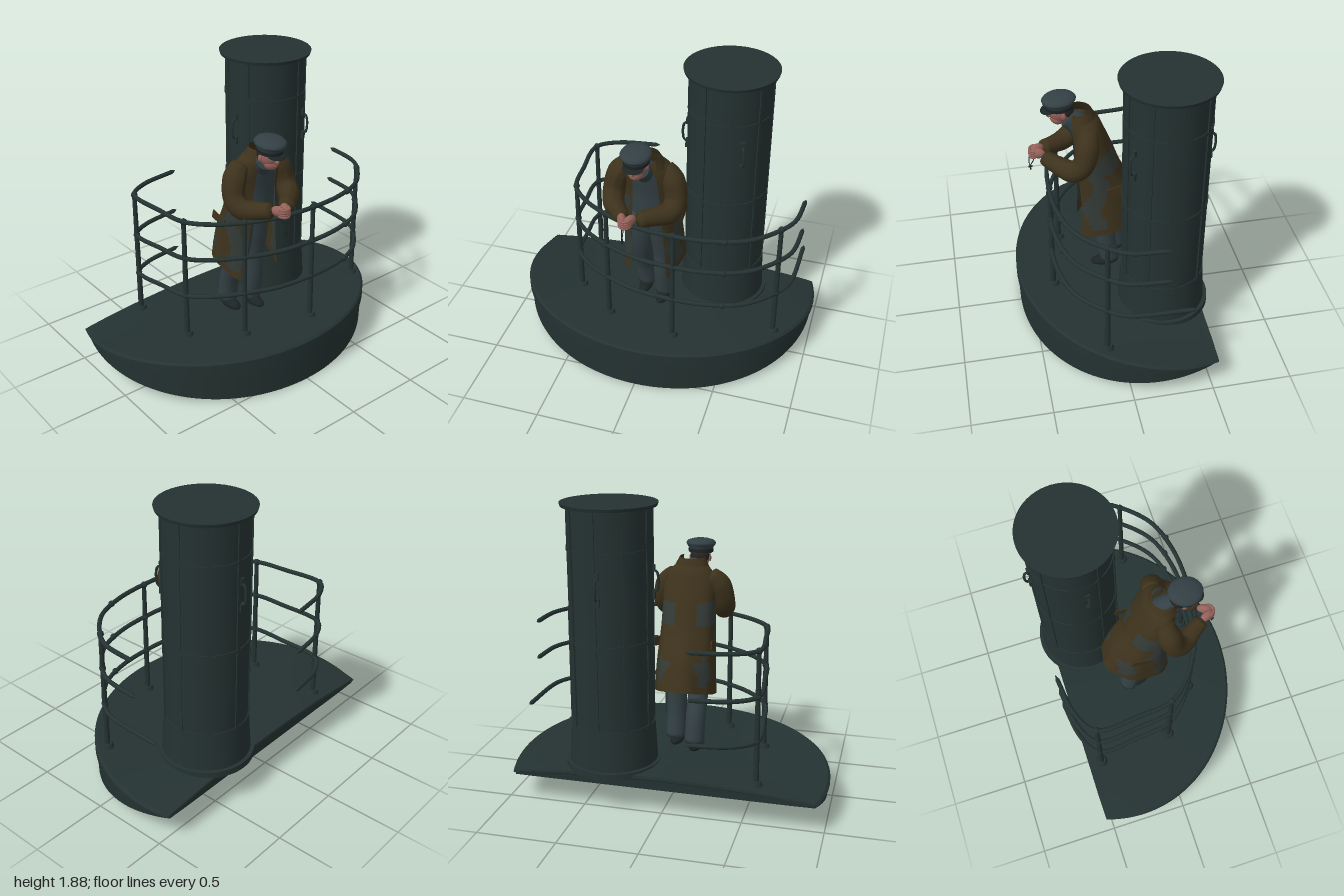
import * as THREE from 'three';
import { toCreasedNormals } from 'three/addons/utils/BufferGeometryUtils.js';

const mat = (name, color, side = THREE.FrontSide) => {
  const m = new THREE.MeshStandardMaterial({ color, side });
  m.name = name;
  return m;
};
const V = (x, y, z) => new THREE.Vector3(x, y, z);

// Skin between cross-sections; pick(point) chooses the material index of each cell
function loft(rings, closed = true, pick = () => 0) {
  const n = rings[0].length, lists = [[], []];
  for (let i = 0; i < rings.length - 1; i++) {
    for (let j = 0; j < (closed ? n : n - 1); j++) {
      const k = (j + 1) % n, a = i * n + j, b = i * n + k;
      lists[pick(rings[i][j])].push(a, b, b + n, a, b + n, a + n);
    }
  }
  const g = new THREE.BufferGeometry().setFromPoints(rings.flat());
  g.setIndex([...lists[0], ...lists[1]]);
  g.addGroup(0, lists[0].length, 0);
  g.addGroup(lists[0].length, lists[1].length, 1);
  g.computeVertexNormals();
  return g;
}

// Tube whose radius follows a list of values; closed at both ends
function limb(points, radii, seg = 28, sides = 14) {
  const curve = new THREE.CatmullRomCurve3(points.map((p) => V(...p)));
  const g = new THREE.TubeGeometry(curve, seg, 1, sides), pos = g.attributes.position, p = V();
  for (let i = 0; i <= seg; i++) {
    const c = curve.getPointAt(i / seg), t = (i / seg) * (radii.length - 1);
    const k = Math.min(Math.floor(t), radii.length - 2);
    const r = i === 0 || i === seg ? 0.001 : THREE.MathUtils.lerp(radii[k], radii[k + 1], t - k);
    for (let j = 0; j <= sides; j++) {
      const id = i * (sides + 1) + j;
      p.fromBufferAttribute(pos, id).sub(c).multiplyScalar(r).add(c);
      pos.setXYZ(id, p.x, p.y, p.z);
    }
  }
  g.computeVertexNormals();
  return g;
}

export function createModel() {
  const steel = mat('dark green steel', 0x243231);
  const olive = mat('olive coat', 0x3d321c, THREE.DoubleSide);
  const patch = mat('grey green coat patch', 0x333a36, THREE.DoubleSide);
  const cloth = mat('blue grey cloth', 0x334044);
  const skin = mat('skin', 0x95625a);
  const hair = mat('dark hair', 0x2a2420);
  const black = mat('black leather', 0x1d2425);

  const root = new THREE.Group();
  const group = (name) => {
    const g = new THREE.Group();
    g.name = name;
    root.add(g);
    return g;
  };
  const add = (parent, name, geo, material, x = 0, y = 0, z = 0) => {
    const m = new THREE.Mesh(geo, material);
    m.name = name;
    m.position.set(x, y, z);
    parent.add(m);
    return m;
  };

  // Platform: half-oval outline, cambered deck, sloping underside
  const drop = (x) => THREE.MathUtils.clamp((0.59 - x) / 1.15, 0, 1);
  const topY = (x, z) => 0.31 - 0.05 * drop(x) - 0.07 * z * z * drop(x) ** 2;
  const botY = (x) => 0.003 + 0.177 * drop(x) ** 1.2;
  const rimY = (x, z) => THREE.MathUtils.lerp(botY(x), topY(x, z), 0.68);
  const outline = [];
  for (let i = 0; i <= 72; i++) {
    const a = -1.87 + (3.74 * i) / 72;
    outline.push([-0.28 + 0.87 * Math.cos(a), -Math.sin(a)]);
  }
  for (let i = 1; i < 12; i++) outline.push([-0.54, -0.955 + (1.91 * i) / 12]);
  const deckRing = (s, yf, dy = 0) => outline.map(([x, z]) => {
    const px = -0.3 + (x + 0.3) * s, pz = z * s;
    return V(px, yf(px, pz) + dy, pz);
  });
  const hull = loft([
    deckRing(0.001, botY), deckRing(0.5, botY), deckRing(0.985, botY), deckRing(0.99, rimY),
    deckRing(1, rimY, 0.004), deckRing(1, topY, -0.012), deckRing(0.985, topY),
    ...[0.85, 0.7, 0.5, 0.25, 0.001].map((s) => deckRing(s, topY)),
  ]);
  hull.clearGroups();
  add(group('platform'), 'platformHull', toCreasedNormals(hull, 0.5), steel);

  // Round tower with cap, bands, straps and door fittings
  const tower = group('tower');
  tower.position.set(-0.305, 0, -0.36);
  const drum = (name, r1, r2, y0, y1) =>
    add(tower, name, new THREE.CylinderGeometry(r1, r2, y1 - y0, 56), steel, 0, (y0 + y1) / 2, 0);
  drum('towerBody', 0.255, 0.255, 0.25, 1.87);
  drum('towerBase', 0.262, 0.278, 0.25, 0.52);
  drum('towerFlange', 0.3, 0.302, 0.235, 0.275);
  drum('towerCap', 0.292, 0.286, 1.868, 1.888);
  for (const y of [0.52, 1.06, 1.62]) drum('towerBand', 0.261, 0.261, y - 0.01, y + 0.01);
  const onTower = (name, geo, a, y, r) => {
    add(tower, name, geo, steel, r * Math.sin(a), y, r * Math.cos(a)).rotation.y = a;
  };
  for (let i = 0; i < 9; i++) {
    onTower('towerStrap', new THREE.BoxGeometry(0.022, 1.34, 0.012), 0.45 + (i * Math.PI * 2) / 9, 1.19, 0.257);
  }
  for (const a of [0, Math.PI]) {
    add(tower, 'doorPanel', new THREE.CylinderGeometry(0.259, 0.259, 1.22, 12, 1, true, a - 0.3, 0.6), steel, 0, 1.17, 0);
  }
  for (const a of [0.1, 2.1, -Math.PI / 2]) {
    const bar = limb([[0, 0.07, 0], [0, 0.055, 0.028], [0, -0.055, 0.028], [0, -0.07, 0]], [0.008, 0.008], 16, 8);
    onTower('doorHandle', bar, a, 1.42, 0.255);
    onTower('handlePlate', new THREE.BoxGeometry(0.035, 0.05, 0.025), a, 1.34, 0.26);
    onTower('handlePlate', new THREE.BoxGeometry(0.03, 0.04, 0.02), a, 1.5, 0.26);
  }

  // Curved guard rails and their posts
  const railing = group('railing');
  const plan = [[0.02, -0.86], [0.14, -0.79], [0.29, -0.63], [0.36, -0.42], [0.375, -0.19], [0.35, 0.06],
    [0.27, 0.27], [0.17, 0.43], [0.04, 0.54], [-0.18, 0.57], [-0.45, 0.575], [-0.54, 0.45], [-0.588, 0.17]];
  const rails = [[1.09, 0, -0.22], [0.855, 0.055, -0.24], [0.6, 0.085, -0.4]];
  for (const [y, sag, end] of rails) {
    const path = [[end, -0.885], ...plan].map(([x, z]) =>
      [x, z > 0 ? y - sag * Math.min(1, Math.max(0, (0.3 - x) / 0.85)) : y, z]);
    add(railing, 'guardRail', limb(path, [0.014, 0.014], 90, 10), steel);
  }
  for (const [x, z] of [[0.13, -0.795], [0.372, -0.19], [0.27, 0.265], [0.035, 0.54], [-0.45, 0.575]]) {
    const y0 = topY(x, z) - 0.005;
    add(railing, 'railPost', new THREE.CylinderGeometry(0.014, 0.018, 1.1 - y0, 12), steel, x, (1.1 + y0) / 2, z);
    add(railing, 'postFoot', new THREE.CylinderGeometry(0.03, 0.043, 0.03, 12), steel, x, y0 + 0.015, z);
    for (const [y, sag] of rails) {
      const h = y - (z > 0 ? sag * Math.max(0, (0.3 - x) / 0.85) : 0);
      add(railing, 'railJoint', new THREE.SphereGeometry(0.021, 10, 8), steel, x, h, z);
    }
  }
  for (const [y] of rails) add(railing, 'railCoupling', new THREE.SphereGeometry(0.02, 10, 8), steel, 0.345, y, -0.5);

  // Sailor leaning on the rail, facing +x
  const man = group('sailor');
  for (const [z, dx] of [[0.115, -0.04], [-0.025, 0.03]]) {
    add(man, 'trouserLeg', limb([[0.04, 1.0, z * 0.8 + 0.01], [0.0, 0.68, z], [-0.04 + dx, 0.48, z], [-0.07 + dx, 0.3, z]],
      [0.085, 0.08, 0.066, 0.064, 0.064]), cloth);
    add(man, 'shoe', new THREE.SphereGeometry(1, 16, 10), black, -0.03 + dx, 0.298, z).scale.set(0.095, 0.034, 0.043);
  }
  // cross-section: [y, centre x, half depth, half width]
  const ring = (y, cx, rx, rz, gap, tilt, fold) => Array.from({ length: 45 }, (_, j) => {
    const a = gap + ((Math.PI * 2 - gap * 2) * j) / 44;
    const w = 1 + fold * Math.sin(a * 7 + y * 4);
    const x = cx + rx * w * Math.cos(a);
    return V(x, y - tilt * x, 0.035 - rz * w * Math.sin(a));
  });
  const section = [[0.63, -0.025, 0.235, 0.195], [0.85, -0.005, 0.195, 0.185], [1.05, 0.04, 0.15, 0.175],
    [1.2, 0.065, 0.125, 0.17], [1.34, 0.1, 0.105, 0.165], [1.41, 0.115, 0.09, 0.13], [1.455, 0.13, 0.07, 0.075]];
  const spline = new THREE.CatmullRomCurve3(section.map(([y, cx, rx]) => V(y, cx, rx)));
  const width = new THREE.CatmullRomCurve3(section.map(([y, , , rz]) => V(y, rz, 0)));
  const coatRings = [], bodyRings = [];
  for (let i = 0; i <= 30; i++) {
    const s = spline.getPoint(i / 30), rz = width.getPoint(i / 30).y, t = i / 30;
    coatRings.push(ring(s.x, s.y, s.z, rz, 0.68 - 0.35 * t, 0.31 * Math.max(0, 1 - t * 2), 0.03 * (1 - t)));
    if (i > 9) bodyRings.push(ring(s.x, s.y, s.z * 0.9, rz * 0.85, 0, 0, 0));
  }
  // faded areas on both sides of the coat
  const faded = (p) => {
    const wave = 0.03 * Math.sin(p.y * 18);
    const back = p.y > 1.06 && p.y < 1.22 && p.x < 0.06;
    const side = p.y > 0.64 && p.y < 1.15 && p.x > 0.02 + wave && p.x < 0.13 + wave;
    const low = p.y > 0.72 && p.y < 0.88 && p.x > -0.2 && p.x < -0.13 + wave;
    return Math.abs(p.z - 0.035) > 0.07 && (back || side || low) ? 1 : 0;
  };
  add(man, 'coat', loft(coatRings, false, faded), [olive, patch]);
  add(man, 'sweater', loft(bodyRings), [cloth, cloth]);
  add(man, 'coatCollar', loft([
    ring(1.39, 0.13, 0.1, 0.12, 0.7, -0.1, 0), ring(1.44, 0.135, 0.085, 0.095, 0.8, -0.1, 0),
    ring(1.485, 0.15, 0.08, 0.08, 0.95, 0, 0)], false), [olive, olive]);
  add(man, 'turtleneck', limb([[0.12, 1.34, 0.04], [0.17, 1.39, 0.05], [0.22, 1.425, 0.06]], [0.075, 0.07, 0.062]), cloth);
  // pocket flaps
  for (const s of [1, -1]) {
    const flap = add(man, 'pocketFlap', new THREE.BoxGeometry(0.12, 0.055, 0.009), olive, -0.05, 0.97, 0.035 + s * 0.182);
    flap.rotation.set(0, 0, -0.25);
  }
  // arms resting on the rail, hands clasped
  for (const s of [1, -1]) {
    const z = (v) => 0.05 + s * v;
    add(man, 'sleeve', limb([[0.1, 1.39, z(0.1)], [0.12, 1.32, z(0.165)], [0.15, 1.2, z(0.195)], [0.21, 1.145, z(0.18)],
      [0.3, 1.15, z(0.11) + 0.01], [0.375, 1.165, z(0.045) + 0.03]], [0.055, 0.075, 0.07, 0.068, 0.056, 0.047]), olive);
    const palm = add(man, 'hand', new THREE.SphereGeometry(1, 14, 10), skin, 0.405, 1.17, 0.09 + s * 0.024);
    palm.scale.set(0.05, 0.034, 0.028);
    palm.rotation.y = s * 0.4;
    for (let i = 0; i < 4; i++) {
      add(man, 'finger', limb([[0.415, 1.19 - i * 0.014, 0.09 + s * 0.04], [0.447, 1.188 - i * 0.015, 0.09 + s * 0.02],
        [0.452, 1.184 - i * 0.015, 0.09 - s * 0.014]], [0.009, 0.009], 10, 8), skin);
    }
  }
  // chain hanging from the hands
  add(man, 'chain', limb([[0.43, 1.15, 0.1], [0.425, 1.11, 0.1], [0.435, 1.085, 0.1], [0.452, 1.06, 0.1],
    [0.458, 1.1, 0.1], [0.45, 1.15, 0.1]], [0.003, 0.003], 40, 6), black);
  add(man, 'pendant', new THREE.BoxGeometry(0.008, 0.034, 0.008), black, 0.45, 1.043, 0.1);
  add(man, 'pendantBar', new THREE.BoxGeometry(0.025, 0.008, 0.008), black, 0.45, 1.05, 0.1);

  // Head
  const head = new THREE.Group();
  head.name = 'head';
  head.position.set(0.255, 1.46, 0.065);
  head.rotation.z = -0.08;
  man.add(head);
  const ball = (name, m, x, y, z, sx, sy, sz) =>
    add(head, name, new THREE.SphereGeometry(1, 20, 14), m, x, y, z).scale.set(sx, sy, sz);
  ball('skull', skin, -0.005, 0.01, 0, 0.075, 0.075, 0.062);
  ball('jaw', skin, 0.018, -0.035, 0, 0.048, 0.045, 0.047);
  ball('nose', skin, 0.07, -0.008, 0, 0.018, 0.018, 0.011);
  ball('mouth', skin, 0.056, -0.04, 0, 0.012, 0.008, 0.02);
  ball('hair', hair, -0.026, 0.012, 0, 0.06, 0.055, 0.061);
  for (const s of [1, -1]) {
    ball('ear', skin, -0.012, -0.002, s * 0.063, 0.015, 0.022, 0.008);
    ball('eyebrow', hair, 0.061, 0.018, s * 0.026, 0.008, 0.004, 0.014);
  }
  // Peaked cap
  const capProfile = [[0.078, 0.03], [0.082, 0.036], [0.084, 0.062], [0.1, 0.084], [0.102, 0.094], [0.09, 0.108], [0.055, 0.118], [0, 0.121]];
  const cap = add(head, 'capCrown', new THREE.LatheGeometry(capProfile.map((p) => new THREE.Vector2(...p)), 32), cloth);
  cap.scale.set(1.03, 1, 0.92);
  add(head, 'capBand', new THREE.CylinderGeometry(0.087, 0.085, 0.022, 32), black, 0, 0.046, 0).scale.z = 0.92;
  const visor = ball('capVisor', black, 0.065, 0.033, 0, 0.055, 0.007, 0.065);
  const visorMesh = head.getObjectByName('capVisor');
  visorMesh.rotation.z = -0.15;
  return root;
}
